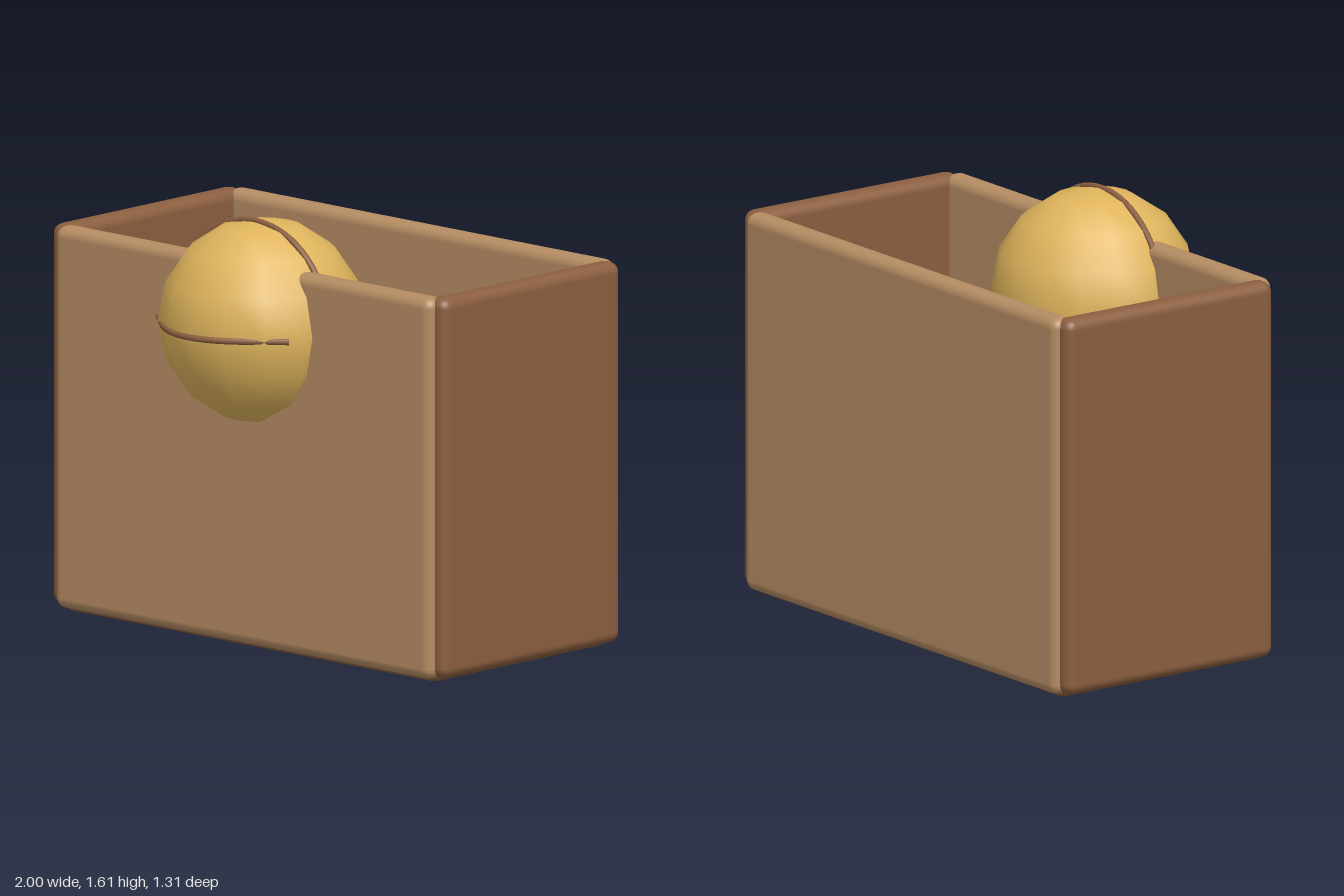
import * as THREE from 'three';
import { RoundedBoxGeometry } from 'three/addons/geometries/RoundedBoxGeometry.js';

export function createModel() {
  const group = new THREE.Group();
  const material = (name, color) => {
    const m = new THREE.MeshStandardMaterial({ color });
    m.name = name;
    return m;
  };
  const tan = material('tan panel', 0xb58c63);
  const brown = material('brown panel', 0x8b5e3f);
  const gold = material('golden ball', 0xdfb45c);
  brown.side = THREE.DoubleSide;

  const add = (name, geometry, mat, x = 0, y = 0, z = 0) => {
    const mesh = new THREE.Mesh(geometry, mat);
    mesh.name = name;
    mesh.position.set(x, y, z);
    group.add(mesh);
    return mesh;
  };
  // Rounded slab given by its lowest and highest corners
  const slab = (name, mat, a, b) => add(name,
    new RoundedBoxGeometry(b[0] - a[0], b[1] - a[1], b[2] - a[2], 3, 0.04), mat,
    (a[0] + b[0]) / 2, (a[1] + b[1]) / 2, (a[2] + b[2]) / 2);

  // Open box
  slab('floor', brown, [-0.95, 0, -0.625], [0.95, 0.09, 0.325]);
  slab('frontPanel', tan, [-0.955, 0.015, 0.26], [0.955, 1.45, 0.355]);
  slab('backPanel', tan, [-0.955, 0.015, -0.655], [0.955, 1.45, -0.56]);
  slab('rightPanel', brown, [-1, 0.02, -0.63], [-0.905, 1.45, 0.325]);
  slab('leftPanel', brown, [0.905, 0.02, -0.63], [1, 1.45, 0.325]);

  // Ball set into the front panel
  add('ball', new THREE.SphereGeometry(0.383, 16, 8), gold, 0, 1.22, 0.245);

  // Upright seam over the ball
  add('archSeam', new THREE.TorusGeometry(0.378, 0.012, 8, 32, Math.PI), brown, 0, 1.22, 0.28);

  // Level seam across the face of the ball, dipping under its surface between pieces
  const half = [[0.33, 0.447], [0.25, 0.517], [0.2, 0.56], [0.1, 0.62]];
  const points = [
    ...half.map(([x, z]) => new THREE.Vector3(-x, 0, z)),
    new THREE.Vector3(0, 0, 0.639),
    ...half.slice().reverse().map(([x, z]) => new THREE.Vector3(x, 0, z)),
  ];
  add('levelSeam', new THREE.TubeGeometry(new THREE.CatmullRomCurve3(points), 32, 0.012, 8), brown, 0, 1.215, 0);

  return group;
}
